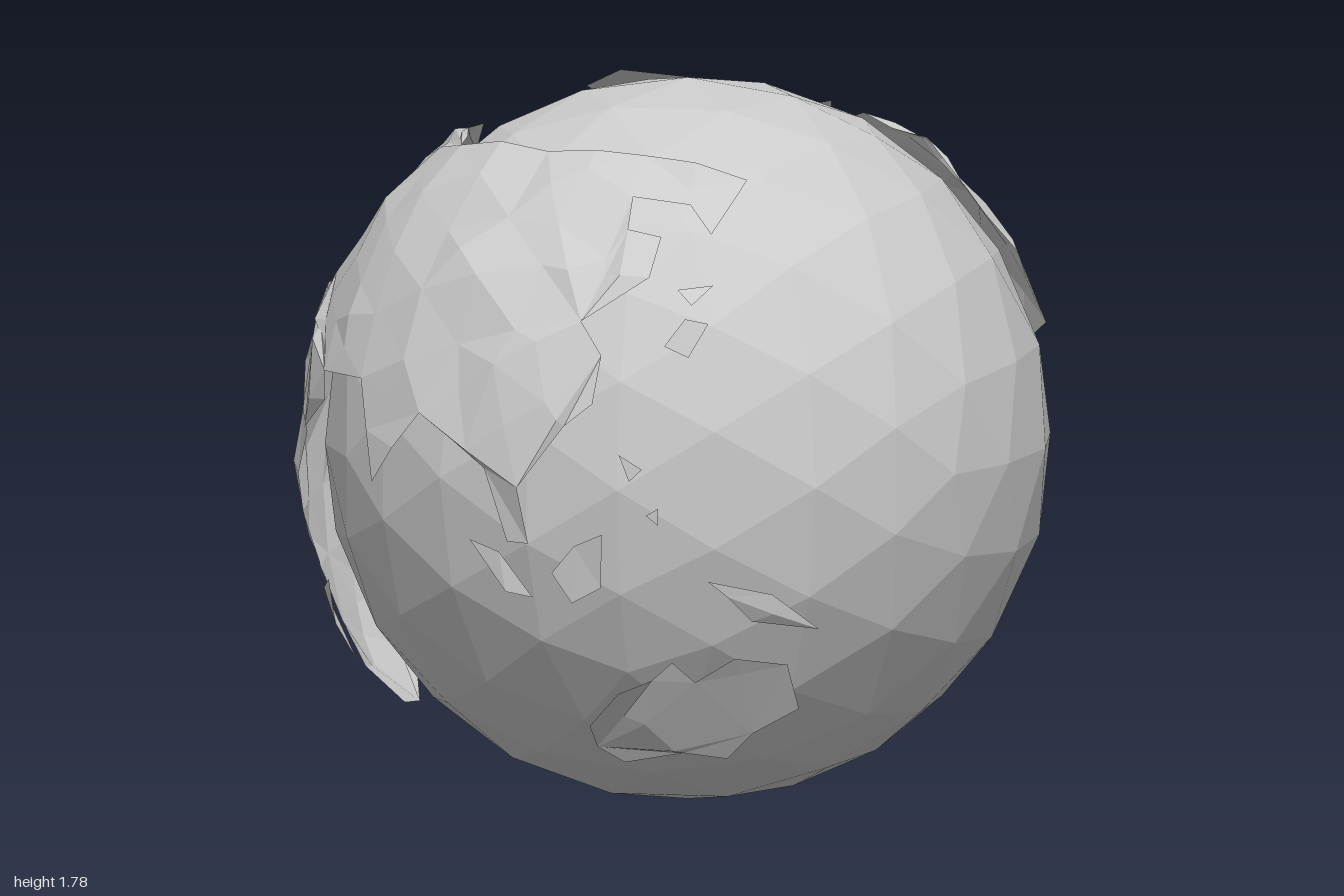
import * as THREE from 'three';

const V = (x, y, z) => new THREE.Vector3(x, y, z);
const MID = V(0, 0.89, 0);            // origin of the outline planes
const CORE = V(0.02, 0.87, 0.03);     // centre of the land shells
const R = 0.945;                      // mean radius of the land shells

// Planes in which coast outlines are drawn: [azimuth, elevation]
const PLANES = { F: [0, 0], R: [90, 0], T: [0, 90], BL: [215, 25], BR: [140, -25] };

// Coast segment -> unit directions from CORE; 'LL' takes longitude, latitude
function segment(plane, ...n) {
  const out = [];
  for (let i = 0; i < n.length; i += 2) {
    if (plane === 'LL') {
      const lon = THREE.MathUtils.degToRad(n[i]), lat = THREE.MathUtils.degToRad(n[i + 1]);
      out.push(V(Math.sin(lon) * Math.cos(lat), Math.sin(lat), Math.cos(lon) * Math.cos(lat)));
      continue;
    }
    const [a, e] = PLANES[plane].map(THREE.MathUtils.degToRad);
    const right = V(Math.cos(a), 0, -Math.sin(a));
    const toward = V(Math.sin(a) * Math.cos(e), Math.sin(e), Math.cos(a) * Math.cos(e));
    const up = toward.clone().cross(right);
    const off = MID.clone().sub(CORE);
    const u = n[i] + off.dot(right), v = n[i + 1] + off.dot(up);
    const w = Math.sqrt(Math.max(0, R * R - u * u - v * v));
    out.push(right.multiplyScalar(u).addScaledVector(up, v).addScaledVector(toward, w).normalize());
  }
  return out;
}

// Repeatable roughness in -1..1 from a direction
function rough(d) {
  const s = Math.sin(Math.round(d.x * 500) * 12.99 + Math.round(d.y * 500) * 78.23 + Math.round(d.z * 500) * 37.72) * 43758.55;
  return (s - Math.floor(s)) * 2 - 1;
}

const LAND = {
  eurasia: [
    ['F', -0.73, 0.21, -0.59, 0.22, -0.53, -0.02, -0.385, 0.165, -0.2, 0.05, -0.14, -0.13, -0.08, -0.13,
      -0.1, 0.01, 0.01, 0.165, 0.08, 0.22, 0.09, 0.335, 0.03, 0.41, 0.18, 0.51, 0.185, 0.605, 0.1, 0.62,
      0.09, 0.69, 0.23, 0.68, 0.3, 0.605],
    ['T', 0.34, -0.52, 0.19, -0.53, -0.18, -0.5, -0.44, -0.35, -0.47, -0.24],
    ['BL', 0.48, 0.6, 0.375, 0.49, 0.37, 0.38, 0.46, 0.4, 0.36, 0.24, 0.27, 0.13, 0.22, 0.06, 0.25, -0.02,
      0.38, 0.08, 0.5, 0.05, 0.62, 0.1],
    ['LL', -80, 24, -76, 20, -66, 4, -54, 10]],
  africa: [
    ['BL', 0.5, -0.03, 0.38, -0.06, 0.25, -0.08, 0.16, -0.17, 0.14, -0.375, 0.3, -0.45, 0.52, -0.42, 0.555, -0.58],
    ['LL', -98, -40, -90, -44, -83, -43, -73, -27, -73, -10, -61, 4, -72, 6, -80, 19, -95, 18]],
  northAmerica: [
    ['T', 0.68, 0.15, 0.6, 0.33, 0.72, 0.42],
    ['R', 0.49, 0.245, 0.61, 0.18],
    ['BR', 0.09, 0.42, 0.26, 0.37, 0.16, 0.45, 0.08, 0.5, 0.05, 0.6],
    ['BL', -0.77, -0.02, -0.75, 0.1, -0.685, 0.16, -0.475, 0.23, -0.31, 0.4, -0.475, 0.46],
    ['T', 0.32, 0.44, 0.54, 0.25]],
  southAmerica: [['BR', 0.23, 0.37, 0.25, 0.14, 0.31, -0.1, 0.31, -0.25, 0.21, -0.58, 0.39, -0.4, 0.54, -0.34,
    0.57, -0.22, 0.73, -0.07, 0.685, 0.1, 0.54, 0.26, 0.27, 0.39]],
  australia: [['F', 0.02, -0.6, 0.115, -0.5, 0.2, -0.47, 0.255, -0.425, 0.3, -0.48, 0.4, -0.415, 0.51, -0.435,
    0.51, -0.55, 0.4, -0.615, 0.325, -0.68, 0.23, -0.67, 0.08, -0.7, 0.02, -0.665]],
  northAtlanticIsland: [['T', -0.15, 0.55, -0.09, 0.4, -0.23, 0.24, -0.33, 0.28, -0.3, 0.41]],
  arcticIslandWest: [['T', -0.07, 0.57, 0, 0.55, -0.04, 0.51]],
  arcticIslandEast: [['T', 0.06, 0.58, 0.2, 0.55, 0.24, 0.44, 0.15, 0.5]],
  coralSeaIsland: [['F', 0.36, -0.21, 0.5, -0.25, 0.585, -0.34, 0.45, -0.32, 0.4, -0.25]],
  equatorIsland: [['F', 0.115, -0.095, 0.105, -0.23, 0.03, -0.27, -0.02, -0.2, 0.04, -0.13]],
  straitIsland: [['F', -0.24, -0.13, -0.16, -0.155, -0.075, -0.265, -0.14, -0.25]],
  pacificIsland: [['F', 0.155, 0.1, 0.21, 0.065, 0.18, 0.035]],
  pacificIslet: [['F', 0.22, -0.05, 0.25, -0.03, 0.25, -0.07]],
  eastIsland: [['F', 0.24, 0.36, 0.28, 0.42, 0.335, 0.41, 0.3, 0.335]],
  eastIslandNorth: [['F', 0.25, 0.49, 0.33, 0.5, 0.29, 0.45]],
  indianOceanIsland: [['LL', -58, -18, -62, -32, -66, -30, -63, -20]],
  europeIsland: [['BL', 0.29, 0.35, 0.33, 0.27, 0.26, 0.27]],
};

// Thin curved land shell filling a coast outline
function landGeometry(segments) {
  const dirs = segments.flatMap(s => segment(...s));
  const c = dirs.reduce((s, d) => s.add(d), V(0, 0, 0)).normalize();
  const e1 = V(0, 1, 0).cross(c).normalize(), e2 = c.clone().cross(e1);
  const flat = dirs.map(d => {
    const p = new THREE.Vector2(d.dot(e1), d.dot(e2));
    return p.setLength(Math.acos(THREE.MathUtils.clamp(d.dot(c), -1, 1)));
  });
  const stack = THREE.ShapeUtils.triangulateShape(flat, []).map(f => f.map(i => dirs[i]));
  const pos = [];
  const lift = d => d.clone().multiplyScalar(R + 0.014 * rough(d)).add(CORE);
  // Halve the longest edge until every facet is small enough to follow the globe
  while (stack.length) {
    let [a, b, d] = stack.pop();
    const ab = a.distanceTo(b), bd = b.distanceTo(d), da = d.distanceTo(a);
    if (bd >= ab && bd >= da) [a, b, d] = [b, d, a];
    else if (da >= ab && da >= bd) [a, b, d] = [d, a, b];
    if (a.distanceTo(b) > 0.24) {
      const m = a.clone().add(b).normalize();
      stack.push([a, m, d], [m, b, d]);
      continue;
    }
    const out = b.clone().sub(a).cross(d.clone().sub(a)).dot(a) > 0;
    for (const p of out ? [a, b, d] : [a, d, b]) pos.push(...lift(p).toArray());
  }
  const g = new THREE.BufferGeometry();
  g.setAttribute('position', new THREE.Float32BufferAttribute(pos, 3));
  g.computeVertexNormals();
  return g;
}

// Lumpy low-poly cloud
function cloudGeometry(detail) {
  const g = new THREE.IcosahedronGeometry(1, detail), p = g.attributes.position, v = V(0, 0, 0);
  for (let i = 0; i < p.count; i++) {
    v.fromBufferAttribute(p, i);
    v.multiplyScalar(0.9 + 0.16 * rough(v));
    p.setXYZ(i, v.x, v.y, v.z);
  }
  g.computeVertexNormals();
  return g;
}

export function createModel() {
  const group = new THREE.Group();
  const solid = new THREE.MeshStandardMaterial({ color: 0xcccccc, flatShading: true });
  const thin = new THREE.MeshStandardMaterial({ color: 0xcccccc, flatShading: true, side: THREE.DoubleSide });
  const add = (name, geometry, material) => {
    const mesh = new THREE.Mesh(geometry, material);
    mesh.name = name;
    group.add(mesh);
    return mesh;
  };

  // Ocean globe
  const ocean = add('ocean', new THREE.IcosahedronGeometry(0.888, 3), solid);
  ocean.position.set(0.015, 0.888, -0.01);
  ocean.rotation.y = 0.12;

  // Continents and islands
  for (const [name, outline] of Object.entries(LAND)) add(name, landGeometry(outline), thin);

  // Clouds: position, half sizes, turn about y
  const clouds = [
    ['largeCloud', [-0.66, 1.23, -0.7], [0.26, 0.12, 0.11], 0.63, 1],
    ['smallCloud', [-0.31, 1.33, -0.86], [0.08, 0.05, 0.045], -0.75, 0],
    ['mediumCloud', [0.23, 1.05, -0.95], [0.11, 0.06, 0.05], 0, 1],
  ];
  for (const [name, at, size, turn, detail] of clouds) {
    const cloud = add(name, cloudGeometry(detail), solid);
    cloud.position.set(...at);
    cloud.scale.set(...size);
    cloud.rotation.y = turn;
  }
  return group;
}
